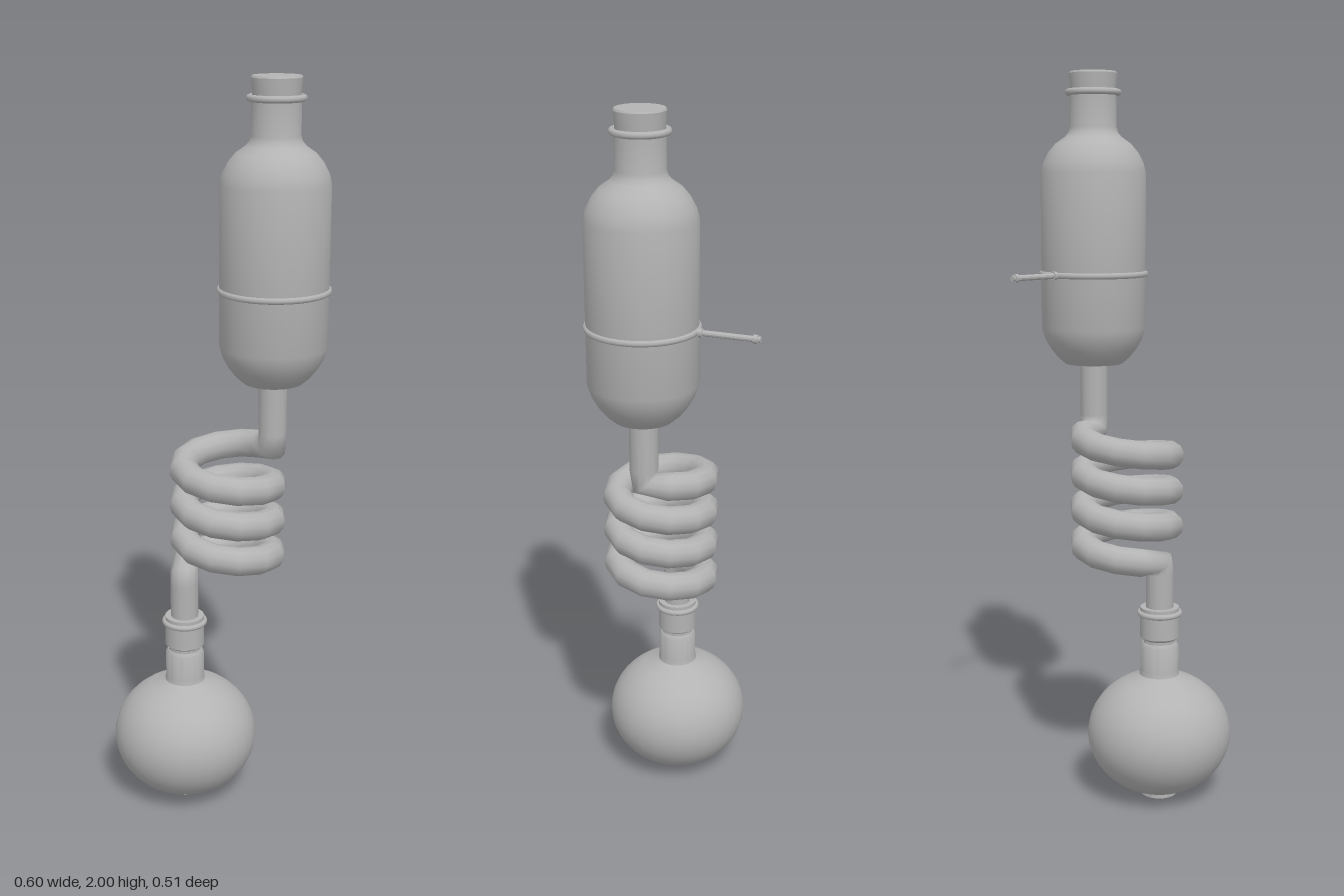
import * as THREE from 'three';
import { toCreasedNormals } from 'three/addons/utils/BufferGeometryUtils.js';

const Z = 0.055;          // depth of the main axis
const LOW_X = -0.1;       // flask axis
const HIGH_X = 0.145;     // reservoir axis

export function createModel() {
  const root = new THREE.Group();
  root.name = 'distillationApparatus';
  const grey = new THREE.MeshStandardMaterial({ color: 0xb3b3b3 });
  grey.name = 'grey';

  const add = (name, geometry, x, y, z = Z) => {
    const mesh = new THREE.Mesh(geometry, grey);
    mesh.name = name;
    mesh.position.set(x, y, z);
    root.add(mesh);
    return mesh;
  };
  const lathe = (points, segments = 32) => toCreasedNormals(
    new THREE.LatheGeometry(points.map(([r, y]) => new THREE.Vector2(r, y)), segments), 0.6);
  const ring = (name, radius, thickness, x, y) => {
    const mesh = add(name, new THREE.TorusGeometry(radius, thickness, 8, 32), x, y);
    mesh.rotation.x = Math.PI / 2;
    return mesh;
  };

  // Squashed round flask with a small flat foot and a straight neck
  const flask = [[0, 0], [0.05, 0], [0.05, 0.015]];
  for (let i = 0; i <= 16; i++) {
    const a = THREE.MathUtils.lerp(-1.27, 1.22, i / 16);
    flask.push([0.2 * Math.cos(a), 0.182 + 0.172 * Math.sin(a)]);
  }
  flask.push([0.056, 0.352], [0.053, 0.365], [0.053, 0.435], [0.047, 0.445], [0, 0.445]);
  add('flask', lathe(flask), LOW_X, 0);

  // Joint above the flask neck
  add('neckJoint', lathe([[0, 0.435], [0.045, 0.435], [0.045, 0.453], [0.054, 0.46],
    [0.054, 0.545], [0, 0.545]]), LOW_X, 0);
  ring('neckJointRing', 0.055, 0.008, LOW_X, 0.528);

  // Coiled tube: 3.5 turns in twelve straight steps each, with upright ends
  const path = [[LOW_X, 0.53, Z], [LOW_X, 0.6, Z], [LOW_X, 0.64, Z]];
  const coilX = (LOW_X + HIGH_X) / 2, coilR = (HIGH_X - LOW_X) / 2;
  for (let i = 0; i <= 42; i++) {
    const a = i / 12 * Math.PI * 2;
    path.push([coilX - coilR * Math.cos(a), 0.67 + i / 120, Z - coilR * Math.sin(a)]);
  }
  path.push([HIGH_X, 1.06, Z], [HIGH_X, 1.1, Z], [HIGH_X, 1.22, Z]);
  const curve = new THREE.CatmullRomCurve3(path.map(p => new THREE.Vector3(...p)));
  // Step point by point so that each path point becomes one ring of the tube
  curve.getPointAt = (t, target) => curve.getPoint(t, target);
  curve.getTangentAt = (t, target) => curve.getTangent(t, target);
  add('coil', new THREE.TubeGeometry(curve, path.length - 1, 0.039, 12), 0, 0, 0);

  // Tall reservoir with rounded shoulders and a bottle neck
  add('reservoir', lathe([[0, 1.205], [0.08, 1.205], [0.1, 1.222], [0.12, 1.247],
    [0.135, 1.273], [0.145, 1.305], [0.145, 1.73], [0.138, 1.757], [0.124, 1.784],
    [0.104, 1.808], [0.078, 1.826], [0.068, 1.838], [0.064, 1.852], [0.064, 1.945],
    [0, 1.945]]), HIGH_X, 0);
  ring('neckRing', 0.069, 0.009, HIGH_X, 1.945);
  add('stopper', lathe([[0, 1.94], [0.061, 1.94], [0.066, 1.995], [0.063, 2], [0, 2]], 24),
    HIGH_X, 0);
  ring('reservoirBand', 0.143, 0.009, HIGH_X, 1.455);

  // Side rod pointing backwards, with a collar at each end
  const rod = (name, radius, from, to) => {
    const mesh = add(name, toCreasedNormals(
      new THREE.CylinderGeometry(radius, radius, to - from, 12), 0.6),
    HIGH_X, 1.455, (from + to) / 2);
    mesh.rotation.x = Math.PI / 2;
  };
  rod('sideRod', 0.0078, -0.26, -0.08);
  rod('rodInnerCollar', 0.0115, -0.108, -0.098);
  rod('rodOuterCollar', 0.0115, -0.253, -0.241);

  return root;
}
